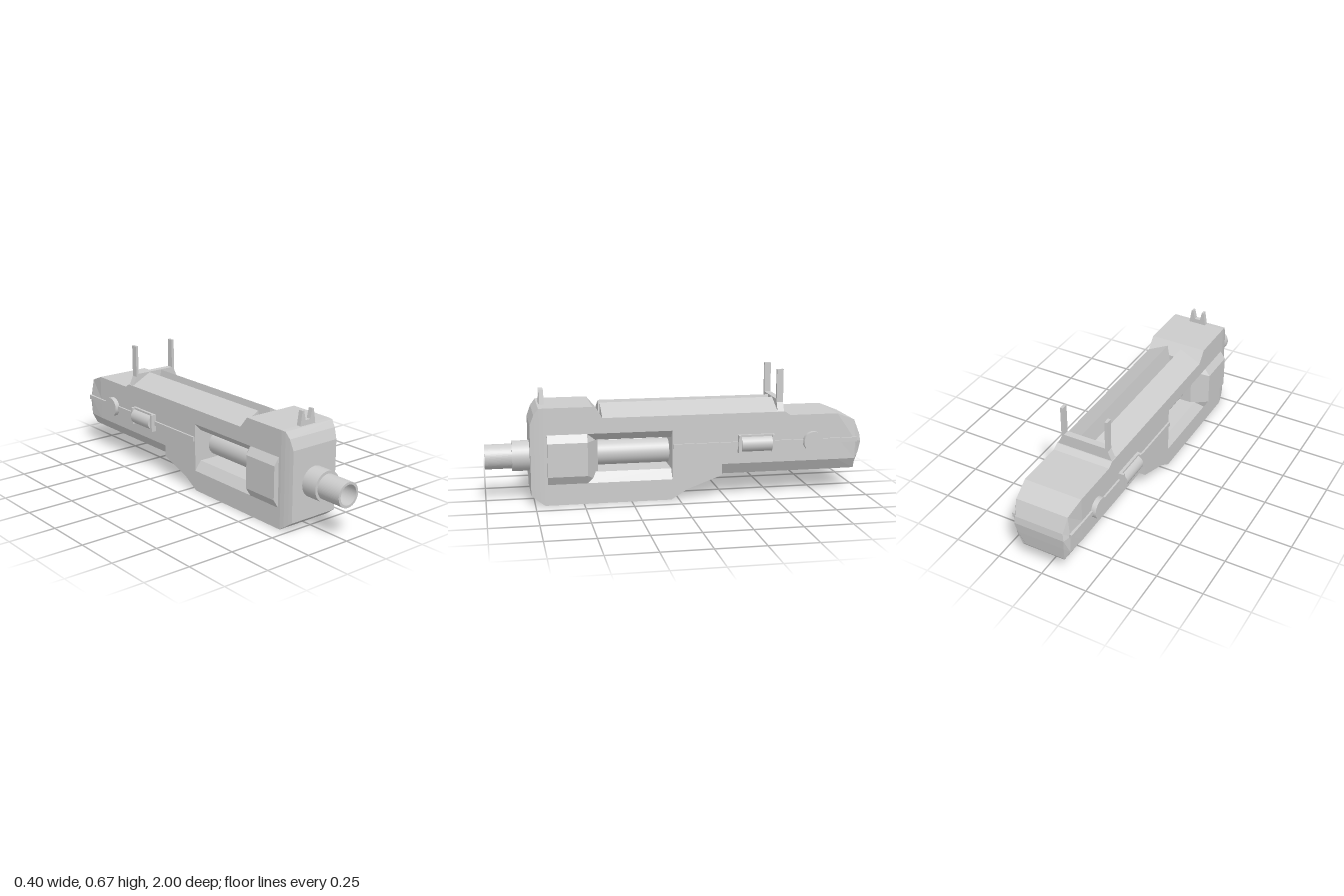
import * as THREE from 'three';

const material = new THREE.MeshStandardMaterial({ color: 0xcccccc, flatShading: true });
const smooth = new THREE.MeshStandardMaterial({ color: 0xcccccc });

export function createModel() {
  const model = new THREE.Group();
  const add = (name, geometry, mat = material) => {
    const mesh = new THREE.Mesh(geometry, mat);
    mesh.name = name;
    model.add(mesh);
    return mesh;
  };
  const shapeOf = (pts) => new THREE.Shape(pts.map(([a, b]) => new THREE.Vector2(a, b)));

  // x-y outline pushed along z
  const prism = (pts, z0, z1) =>
    new THREE.ExtrudeGeometry(shapeOf(pts), { depth: z1 - z0, bevelEnabled: false }).translate(0, 0, z0);

  const box = (x0, x1, y0, y1, z0, z1) =>
    new THREE.BoxGeometry(x1 - x0, y1 - y0, z1 - z0)
      .translate((x0 + x1) / 2, (y0 + y1) / 2, (z0 + z1) / 2);

  // Skin over rings ordered rear to front; each ring lists its +x half from bottom to top
  const loft = (halves) => {
    const rings = halves.map((h) => [...h, ...h.map(([x, y, z]) => [-x, y, z]).reverse()]);
    const n = rings[0].length;
    const index = [];
    for (let k = 0; k < rings.length - 1; k++) {
      for (let i = 0; i < n; i++) {
        const a = k * n + i, b = k * n + (i + 1) % n;
        index.push(a, b, b + n, a, b + n, a + n);
      }
    }
    const last = (rings.length - 1) * n;
    for (let i = 0; i < n / 2 - 1; i++) {
      const j = n - 1 - i;
      index.push(i, j, i + 1, i + 1, j, j - 1);
      index.push(last + i, last + i + 1, last + j, last + i + 1, last + j - 1, last + j);
    }
    const g = new THREE.BufferGeometry();
    g.setAttribute('position', new THREE.Float32BufferAttribute(rings.flat(2), 3));
    g.setIndex(index);
    const flat = g.toNonIndexed();
    flat.computeVertexNormals();
    return flat;
  };

  // Main body, a z-y side outline with the window cut through it
  const W = 0.157;
  const outline = shapeOf([
    [0.7, 0], [0.7, 0.51], [0.45, 0.51], [0.4, 0.45], [0.4, 0.39], [-0.53, 0.39], [-0.53, 0.45],
    [-0.57, 0.45], [-0.6, 0.43], [-0.86, 0.43], [-0.86, 0.18], [-0.23, 0.18], [-0.23, 0.12],
    [-0.04, 0.05], [0.04, 0],
  ]);
  outline.holes.push(shapeOf([[0.035, 0.11], [0.48, 0.11], [0.48, 0.37], [0.035, 0.37]]));
  add('body', new THREE.ExtrudeGeometry(outline, { depth: 2 * W, bevelEnabled: false })
    .translate(0, 0, -W).rotateY(-Math.PI / 2));

  // Rounded nose
  add('nose', loft([
    [0.7, W, 0, 0.51], [0.725, 0.154, 0.018, 0.508], [0.75, 0.148, 0.036, 0.475], [0.77, 0.142, 0.05, 0.42],
  ].map(([z, w, y0, y1]) => [[w, y0, z], [w, y1, z]])));

  // Lower rear keel with chamfered edges, and the rear cap
  add('keel', prism([[-0.12, 0.12], [0.12, 0.12], [W, 0.18], [-W, 0.18]], -0.86, -0.23));
  add('rearCap', loft([
    [[0.1, 0.13, -0.975], [0.13, 0.21, -0.99], [0.138, 0.27, -1], [0.132, 0.31, -0.995]],
    [[0.118, 0.12, -0.97], [0.152, 0.18, -0.965], [0.154, 0.28, -0.965], [0.142, 0.39, -0.96]],
    [[0.12, 0.12, -0.86], [W, 0.18, -0.86], [W, 0.3, -0.86], [W, 0.43, -0.86]],
  ]));

  // Sloped sills above and below the window
  add('upperSill', prism([[-W, 0.37], [-0.12, 0.33], [0.12, 0.33], [W, 0.37]], 0.035, 0.48));
  add('lowerSill', prism([[-W, 0.11], [W, 0.11], [0.12, 0.16], [-0.12, 0.16]], 0.035, 0.48));

  // Raised cheeks that slope back into the window
  const cheek = [[W, 0.11], [0.185, 0.155], [0.185, 0.33], [W, 0.37]];
  add('cheeks', loft([
    cheek.map(([, y]) => [0.1, y, 0.42]),
    cheek.map(([x, y]) => [x, y, 0.48]),
    cheek.map(([x, y]) => [x, y, 0.685]),
  ]));

  // Barrel through the window, collar and hollow muzzle
  add('innerBarrel', new THREE.CylinderGeometry(0.065, 0.065, 0.42, 32)
    .rotateX(Math.PI / 2).translate(0, 0.235, 0.23), smooth);
  add('collar', new THREE.CylinderGeometry(0.08, 0.08, 0.1, 32)
    .rotateX(Math.PI / 2).translate(0, 0.235, 0.81), smooth);
  const ring = new THREE.Shape().absarc(0, 0, 0.065, 0, Math.PI * 2);
  ring.holes.push(new THREE.Path().absarc(0, 0, 0.052, 0, Math.PI * 2));
  add('muzzle', new THREE.ExtrudeGeometry(ring, { depth: 0.15, bevelEnabled: false, curveSegments: 32 })
    .translate(0, 0.235, 0.85), smooth);

  // Front notch sight
  add('frontSight', prism([
    [-0.05, 0.505], [0.05, 0.505], [0.037, 0.585], [0.027, 0.585], [0.015, 0.535],
    [-0.015, 0.535], [-0.027, 0.585], [-0.037, 0.585],
  ], 0.69, 0.715));

  // Rear sight bridge
  add('rearSightBridge', prism([
    [-W, 0.44], [W, 0.44], [0.13, 0.5], [0.115, 0.513], [-0.115, 0.513], [-0.13, 0.5],
  ], -0.565, -0.53));

  for (const s of [1, -1]) {
    const side = s > 0 ? 'left' : 'right';
    const span = (a, b) => (s > 0 ? [a, b] : [-b, -a]);

    // Sloped top rail beside the central trench
    const rail = [[0.02, 0.39], [W, 0.39], [W, 0.45], [0.04, 0.51]].map(([x, y]) => [s * x, y]);
    add(side + 'TopRail', prism(rail, -0.53, 0.4));

    // Rear sight post
    add(side + 'SightPost', box(...span(0.116, 0.131), 0.46, 0.672, -0.565, -0.53));

    // Side rib, clip and round button
    add(side + 'SideRib', box(...span(0.15, 0.167), 0.274, 0.298, -0.97, 0.03));
    add(side + 'ClipPlate', box(...span(0.15, 0.172), 0.24, 0.335, -0.51, -0.315));
    for (const z of [-0.51, -0.33]) {
      add(side + 'ClipEnd', box(...span(0.15, 0.186), 0.24, 0.335, z, z + 0.015));
    }
    add(side + 'ClipRoller', new THREE.CylinderGeometry(0.042, 0.042, 0.165, 24)
      .rotateX(Math.PI / 2).translate(s * 0.158, 0.285, -0.4125), smooth);
    add(side + 'Button', new THREE.CylinderGeometry(0.054, 0.054, 0.04, 24)
      .rotateZ(Math.PI / 2).translate(s * 0.163, 0.285, -0.725), smooth);
  }
  return model;
}
